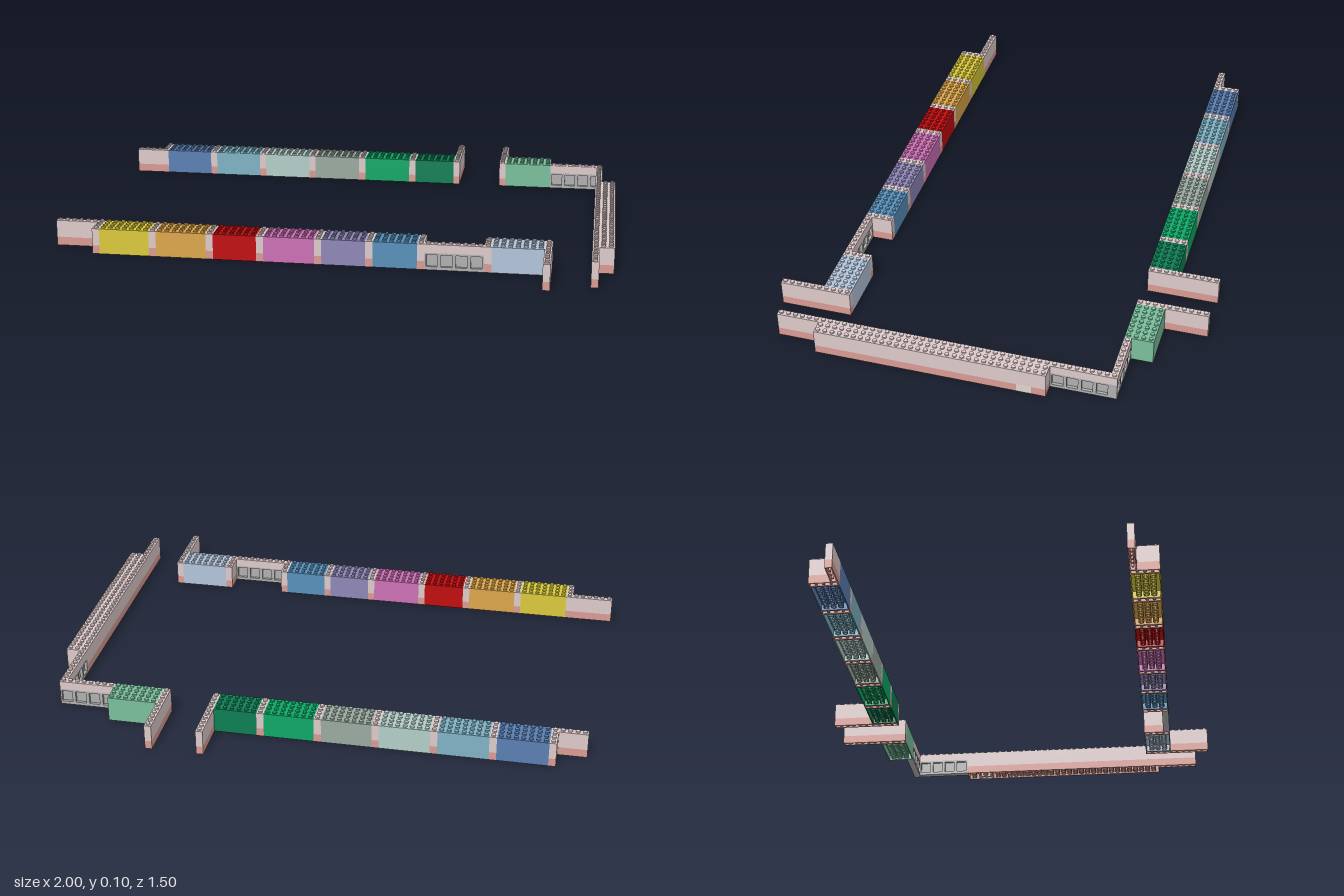
import * as THREE from 'three';
import { mergeGeometries } from 'three/addons/utils/BufferGeometryUtils.js';

const S = 0.0259;            // stud pitch
const H = 1.2 * S;           // brick height
const PINK = 0xddcaca, RED = 0xd99b93, GREY = 0xb0b0b0;

const materials = {};
const mat = (color) => (materials[color] ??= new THREE.MeshStandardMaterial({ color }));

function rect(T, x0, y0, x1, y1) {
  const p = new T();
  p.moveTo(x0, y0);
  p.lineTo(x1, y0);
  p.lineTo(x1, y1);
  p.lineTo(x0, y1);
  p.closePath();
  return p;
}

const stud = new THREE.CylinderGeometry(0.3 * S, 0.3 * S, 0.2125 * S, 12).translate(0, 0.106 * S, 0);
const pin = new THREE.CylinderGeometry(0.19 * S, 0.19 * S, 0.9 * H, 8).translate(0, 0.45 * H, 0);
const tube = new THREE.LatheGeometry([
  [0.3, 0.9 * 1.2], [0.3, 0], [0.407, 0], [0.407, 0.9 * 1.2],
].map(([r, y]) => new THREE.Vector2(r * S, y * S)), 10).toNonIndexed();
tube.computeVertexNormals();

// Studded block nx by nz studs, `levels` bricks high, hollow underneath when on the ground
function brick(group, name, color, x, z, nx, nz, level = 0, levels = 3, studs = true) {
  const w = nx * S, d = nz * S, h = levels * H, geos = [];
  const add = (g, px, py, pz) => {
    const c = g.index ? g.toNonIndexed() : g.clone();
    geos.push(c.translate(px, py, pz));
  };
  const skirt = level === 0 ? 0.85 * H : 0;
  add(new THREE.BoxGeometry(w, h - skirt, d), w / 2, (h + skirt) / 2, d / 2);
  if (skirt) {
    const t = 0.17 * S;
    const ring = rect(THREE.Shape, 0, 0, w, d);
    ring.holes.push(rect(THREE.Path, t, t, w - t, d - t));
    const g = new THREE.ExtrudeGeometry(ring, { depth: skirt, bevelEnabled: false });
    add(g.rotateX(Math.PI / 2), 0, skirt, 0);
    // Clutch tubes, or pins where the brick is one stud wide
    const thin = Math.min(nx, nz) === 1;
    const ni = Math.max(nx - 1, 1), nj = Math.max(nz - 1, 1);
    for (let i = 0; i < ni; i++) for (let j = 0; j < nj; j++) {
      add(thin ? pin : tube, (nx === 1 ? 0.5 : i + 1) * S, 0, (nz === 1 ? 0.5 : j + 1) * S);
    }
  }
  if (studs) for (let i = 0; i < nx; i++) for (let j = 0; j < nz; j++) {
    add(stud, (i + 0.5) * S, h, (j + 0.5) * S);
  }
  const mesh = new THREE.Mesh(mergeGeometries(geos), mat(color));
  mesh.position.set(x, level * H, z);
  mesh.name = name;
  group.add(mesh);
}

// Pale wall standing on a red base course
function wall(group, name, x, z, nx, nz) {
  brick(group, name + 'Base', RED, x, z, nx, nz, 0, 1, false);
  brick(group, name, PINK, x, z, nx, nz, 1, 2);
}

// Row of framed windows along x or z, topped by one course of brick
function windows(group, x, z, count, alongZ) {
  const row = new THREE.Group();
  row.name = 'windowRow';
  for (let k = 0; k < count; k++) {
    const shape = rect(THREE.Shape, 0, 0, 2 * S, 2 * H);
    shape.holes.push(rect(THREE.Path, 0.24 * S, 0.45 * S, 1.76 * S, 2.13 * S));
    const frame = new THREE.Mesh(
      new THREE.ExtrudeGeometry(shape, { depth: S, bevelEnabled: false }), mat(GREY));
    frame.name = 'windowFrame';
    const pane = new THREE.Mesh(new THREE.BoxGeometry(1.54 * S, 1.7 * S, 0.2 * S), mat(GREY));
    pane.name = 'windowPane';
    pane.position.set(S, 1.29 * S, S / 2);
    frame.add(pane);
    frame.position.x = 2 * k * S;
    row.add(frame);
  }
  row.position.set(x, 0, z);
  if (alongZ) {
    row.rotation.y = -Math.PI / 2;
    row.position.x += S;
  }
  group.add(row);
  brick(group, 'lintel', PINK, x, z, alongZ ? 1 : 2 * count, alongZ ? 2 * count : 1, 2, 1);
}

// Coloured blocks four studs deep, each preceded by a one-stud pale divider
function blockRow(group, x, z, blocks) {
  for (const [n, color] of blocks) {
    wall(group, 'divider', x, z, 1, 4);
    brick(group, 'colouredBlock', color, x + S, z, n, 4);
    x += (n + 1) * S;
  }
  return x;
}

export function createModel() {
  const model = new THREE.Group();
  model.name = 'brickWalls';
  const section = (name) => {
    const g = new THREE.Group();
    g.name = name;
    model.add(g);
    return g;
  };
  const zf = 0.492, zb = -0.492;

  // Front row
  const front = section('frontRow');
  wall(front, 'endWall', -1, zf, 6, 1);
  let x = blockRow(front, -1 + 6 * S, zf, [
    [7, 0xd9c93b], [7, 0xdca64c], [6, 0xc00c0f], [7, 0xcc70b5], [6, 0x8f87b7], [6, 0x5890ba]]);
  wall(front, 'divider', x, zf, 1, 4);
  x += S;
  windows(front, x, zf + 3 * S, 4, false);
  x = blockRow(front, x + 8 * S, zf, [[7, 0xb3c4da]]);
  wall(front, 'sideWall', x, zf, 1, 10);

  // Back row
  const back = section('backRow');
  wall(back, 'endWall', -0.973, zb - S, 4, 1);
  x = blockRow(back, -0.973 + 4 * S, zb - 4 * S, [
    [7, 0x5a7fb3], [7, 0x7fb2c4], [7, 0xb3cdc8], [7, 0x9aaaa0], [7, 0x10a868], [6, 0x0f7f55]]);
  wall(back, 'sideWall', x, zb - 10 * S, 1, 10);

  // Corner section with windows on both sides
  const corner = section('cornerSection');
  x = 1 - 18 * S;
  wall(corner, 'sideWall', x, zb - 10 * S, 1, 10);
  brick(corner, 'colouredBlock', 0x7abf9d, x + S, zb - 4 * S, 7, 4);
  windows(corner, x + 8 * S, zb - S, 4, false);
  const xe = 1 - 3 * S;
  windows(corner, xe, zb, 4, true);

  // Long thick wall with one pale brick in its base course
  const long = section('longWall');
  const z = zb + 8 * S;
  brick(long, 'thickWallBase', RED, xe, z, 3, 2, 0, 1, false);
  brick(long, 'thickWallBase', RED, xe, z + 2 * S, 2, 2, 0, 1, false);
  brick(long, 'paleBrick', 0xdcd8d0, xe + 2 * S, z + 2 * S, 1, 2, 0, 1, false);
  brick(long, 'thickWallBase', RED, xe, z + 4 * S, 3, 28, 0, 1, false);
  brick(long, 'thickWall', PINK, xe, z, 3, 32, 1, 2);
  wall(long, 'endWall', xe, z + 32 * S, 1, 6);
  return model;
}
